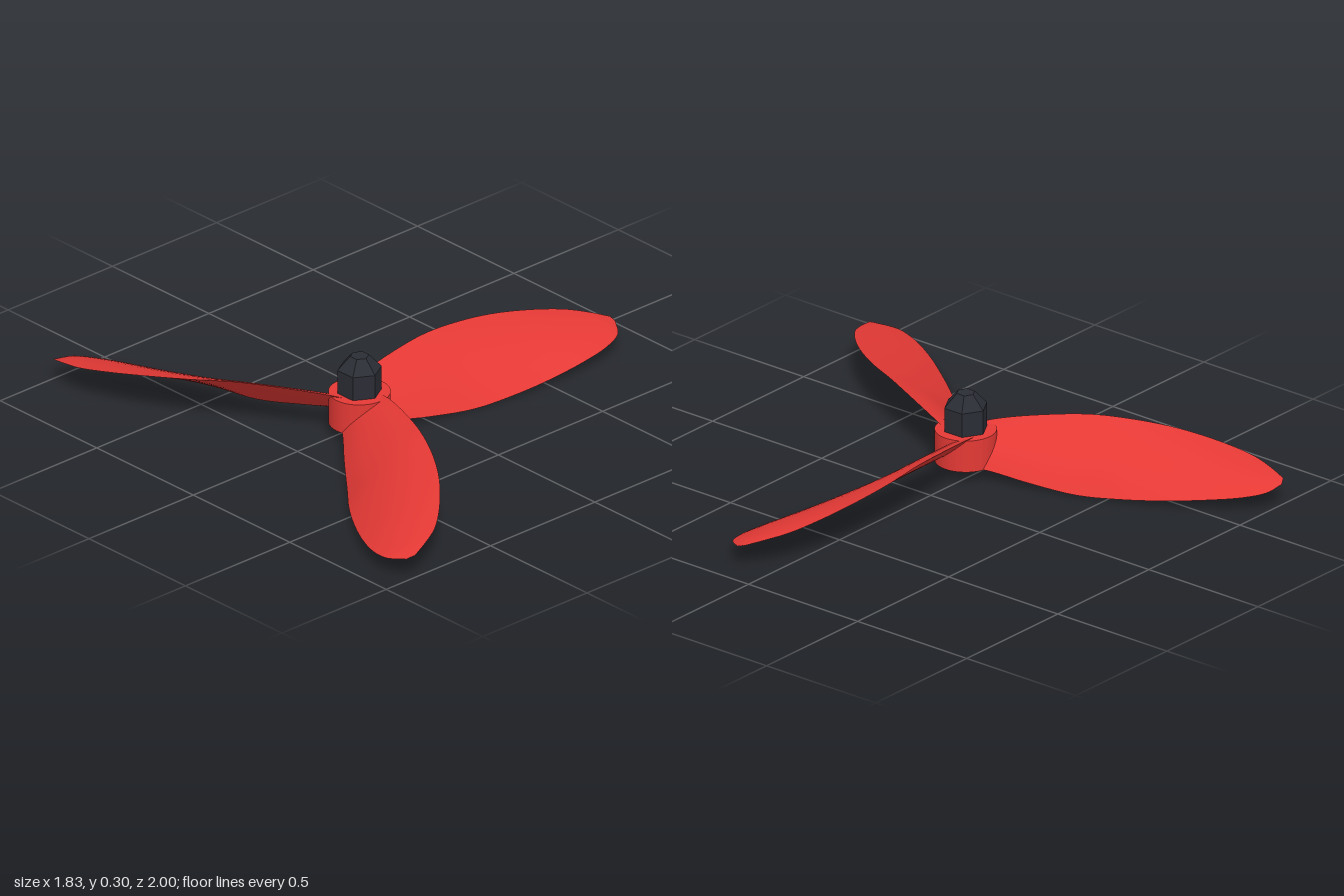
import * as THREE from 'three';

const red = new THREE.MeshStandardMaterial({ color: 0xe53935 });
red.name = 'red';
const black = new THREE.MeshStandardMaterial({ color: 0x2b2d35 });
black.name = 'charcoal';

const curve = (pts) => new THREE.CatmullRomCurve3(pts.map((p) => new THREE.Vector3(...p)));

// High (trailing) and low (leading) edges of a blade that points along +x
const highEdge = curve([
  [0.04, 0.165, -0.07], [0.11, 0.177, -0.085], [0.24, 0.19, -0.105], [0.42, 0.198, -0.125],
  [0.58, 0.187, -0.132], [0.74, 0.17, -0.12], [0.9, 0.145, -0.085], [1.02, 0.122, -0.04],
  [1.09, 0.105, 0.01], [1.145, 0.088, 0.06],
]);
const lowEdge = curve([
  [0.04, 0.05, 0.075], [0.11, 0.043, 0.085], [0.24, 0.022, 0.11], [0.42, 0.001, 0.14],
  [0.58, 0.01, 0.17], [0.74, 0.024, 0.187], [0.9, 0.042, 0.192], [1.02, 0.055, 0.18],
  [1.1, 0.066, 0.15], [1.145, 0.077, 0.09],
]);

// One skin of the blade: side +1 is the upper face, -1 the lower face
function bladeSkin(side) {
  const rows = 45, cols = 10, pos = [], index = [];
  for (let i = 0; i <= rows; i++) {
    const t = i / rows;
    const a = highEdge.getPoint(t), b = lowEdge.getPoint(t);
    const chord = b.clone().sub(a);
    const normal = new THREE.Vector3(0, chord.z, -chord.y).normalize();
    const half = 0.015 * (1 - t * t);
    const camber = 0.03 * chord.length();
    for (let j = 0; j <= cols; j++) {
      const u = j / cols;
      const p = a.clone().lerp(b, u).addScaledVector(normal, (camber + side * half) * 4 * u * (1 - u));
      pos.push(p.x, p.y, p.z);
      if (i < rows && j < cols) {
        const k = i * (cols + 1) + j, n = k + cols + 1;
        if (side > 0) index.push(k, k + 1, n, k + 1, n + 1, n);
        else index.push(k, n, k + 1, k + 1, n, n + 1);
      }
    }
  }
  const geo = new THREE.BufferGeometry();
  geo.setAttribute('position', new THREE.Float32BufferAttribute(pos, 3));
  geo.setIndex(index);
  geo.computeVertexNormals();
  return geo;
}

export function createModel() {
  const model = new THREE.Group();
  model.name = 'propeller';
  model.position.set(-0.24, 0, 0.04);

  const add = (name, geo, mat, y = 0, parent = model) => {
    const mesh = new THREE.Mesh(geo, mat);
    mesh.name = name;
    mesh.position.y = y;
    parent.add(mesh);
    return mesh;
  };

  // Round hub
  add('hub', new THREE.CylinderGeometry(0.11, 0.11, 0.12, 40), red, 0.105);

  // Hexagonal nut with tapered top, corners on the z axis
  const hex = (top, bottom, h) => {
    const geo = new THREE.CylinderGeometry(top, bottom, h, 6).toNonIndexed();
    geo.computeVertexNormals();
    return geo;
  };
  add('nut', hex(0.08, 0.08, 0.1), black, 0.205);
  add('nutCap', hex(0.034, 0.08, 0.05), black, 0.28);

  // Three twisted blades
  const upper = bladeSkin(1), lower = bladeSkin(-1);
  for (let k = 0; k < 3; k++) {
    const blade = new THREE.Group();
    blade.name = `blade${k + 1}`;
    blade.rotation.y = (k * Math.PI * 2) / 3;
    add('bladeUpperFace', upper, red, 0, blade);
    add('bladeLowerFace', lower, red, 0, blade);
    model.add(blade);
  }

  const root = new THREE.Group();
  root.add(model);
  return root;
}
